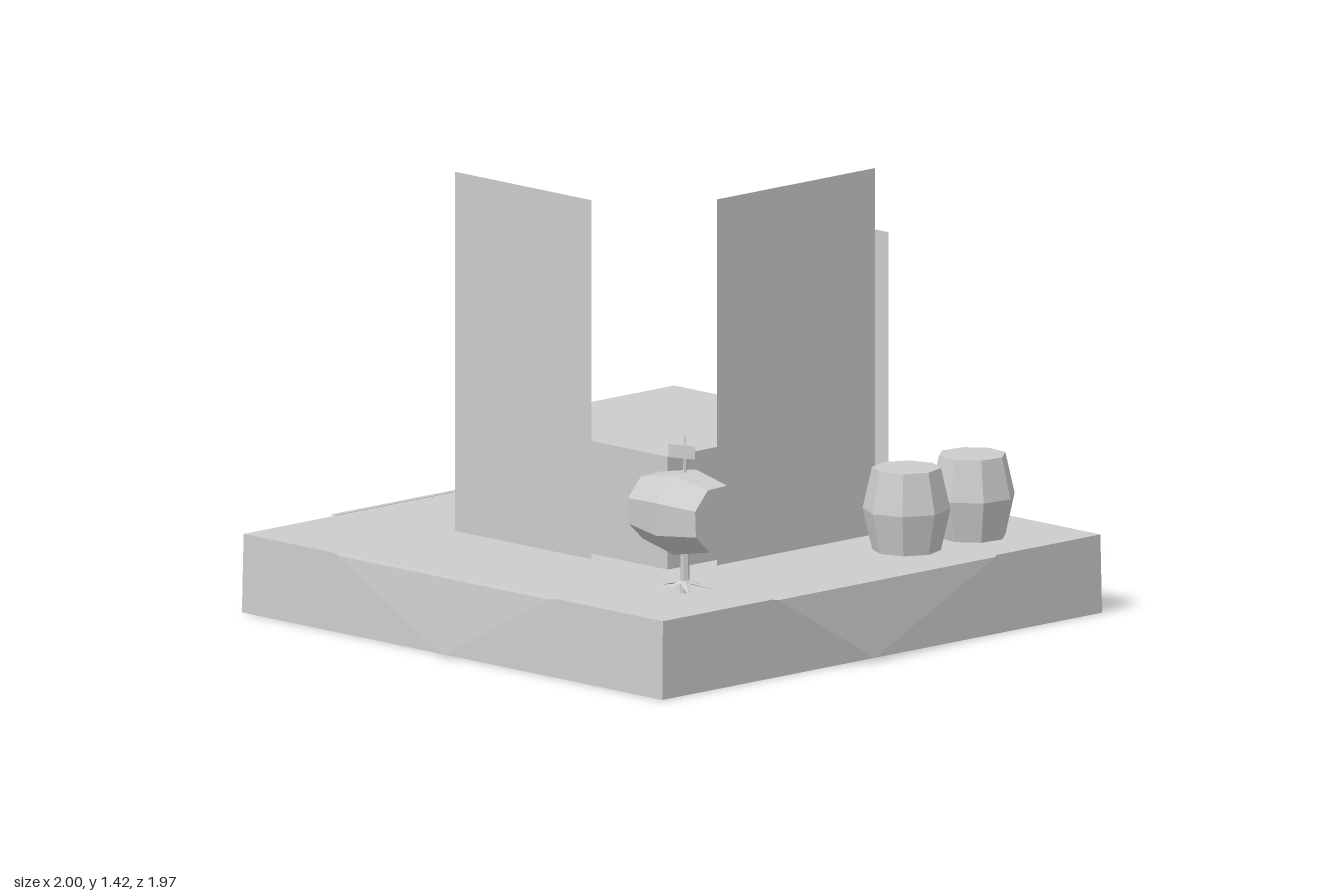
import * as THREE from 'three';

const grey = new THREE.MeshStandardMaterial({ color: 0xcccccc, flatShading: true, side: THREE.DoubleSide });

function createModel() {
  const model = new THREE.Group();
  const add = (name, geometry, x = 0, y = 0, z = 0, parent = model) => {
    const mesh = new THREE.Mesh(geometry, grey);
    mesh.name = name;
    mesh.position.set(x, y, z);
    parent.add(mesh);
    return mesh;
  };

  // Base: slightly flared skirt with a top and no bottom
  const base = new THREE.BoxGeometry(1.91, 0.25, 1.875);
  const p = base.attributes.position;
  for (let i = 0; i < p.count; i++) {
    if (p.getY(i) < 0) p.setXYZ(i, Math.sign(p.getX(i)) * 0.96, -0.125, Math.sign(p.getZ(i)) * 0.94);
  }
  const index = Array.from(base.index.array);
  index.splice(18, 6);
  base.setIndex(index);
  base.clearGroups();
  add('base', base, 0, 0.125, 0);

  // Triangular cloth corners hanging over each edge
  const addFlap = (turn, edge, left, right, tip) => {
    const g = new THREE.BufferGeometry();
    g.setAttribute('position', new THREE.Float32BufferAttribute([
      left - 0.02, 0.252, edge - 0.005, right + 0.02, 0.252, edge - 0.005,
      left, 0.25, edge + 0.022, right, 0.25, edge + 0.022,
      tip, 0.01, edge + 0.045], 3));
    g.setIndex([0, 2, 1, 1, 2, 3, 2, 4, 3]);
    g.computeVertexNormals();
    add('clothFlap', g).rotation.y = turn;
  };
  addFlap(0, 0.935, -0.47, 0.48, -0.07);
  addFlap(Math.PI / 2, 0.955, -0.46, 0.35, -0.02);
  addFlap(Math.PI, 0.94, -0.49, 0.55, 0);
  addFlap(-Math.PI / 2, 0.955, -0.5, 0.45, 0);

  // Central block and the low bench
  add('centralBlock', new THREE.BoxGeometry(0.78, 0.365, 0.77), 0, 0.4275, -0.005);
  add('bench', new THREE.BoxGeometry(0.207, 0.118, 0.79), 0.663, 0.314, -0.277).rotation.y = 0.036;

  // Thin upright panels around the block
  const addPanel = (name, width, top, x, z, turn) => {
    add(name, new THREE.PlaneGeometry(width, top - 0.245), x, (top + 0.245) / 2, z).rotation.y = turn;
  };
  addPanel('frontPanel', 0.69, 1.418, 0.11, 0.442, 0);
  addPanel('leftPanel', 0.61, 1.222, 0.456, 0.195, Math.PI / 2);
  addPanel('rightPanel', 0.61, 1.396, -0.45, -0.205, -Math.PI / 2);

  // Eight-sided barrels
  const barrel = (length) => new THREE.LatheGeometry([
    [0, -0.5], [0.108, -0.5], [0.138, 0], [0.108, 0.5], [0, 0.5],
  ].map(([r, y]) => new THREE.Vector2(r, y * length)), 8);
  add('uprightBarrel', barrel(0.262), 0.36, 0.381, 0.68).rotation.y = -0.08;
  add('uprightBarrel', barrel(0.262), 0.651, 0.381, 0.675).rotation.y = 0.28;

  // Barrel on its side, carried by a star-footed stand
  const stand = new THREE.Group();
  stand.name = 'barrelStand';
  stand.position.set(-0.598, 0.25, 0.67);
  model.add(stand);
  add('lyingBarrel', barrel(0.3), 0, 0.257, 0, stand).rotation.set(Math.PI / 2, Math.PI / 8 + 0.04, 0);
  add('post', new THREE.CylinderGeometry(0.013, 0.017, 0.14, 6), 0, 0.07, 0, stand);
  for (let i = 0; i < 5; i++) {
    const leg = new THREE.ConeGeometry(0.02, 0.1, 4);
    leg.scale(0.35, 1, 1);
    leg.rotateZ(-Math.PI / 2 - 0.27);
    leg.translate(0.052, 0.024, 0);
    add('foot', leg, 0, 0, 0, stand).rotation.y = i * Math.PI * 0.4 + 0.3;
  }

  // Spike and three-sided marker above the barrel
  add('spike', new THREE.CylinderGeometry(0.001, 0.007, 0.14, 5), 0, 0.435, 0, stand);
  const marker = new THREE.CylinderGeometry(0.05, 0.05, 0.042, 3);
  marker.scale(0.75, 1, 1.15);
  add('marker', marker, 0, 0.452, -0.012, stand);

  return model;
}

export { createModel };
